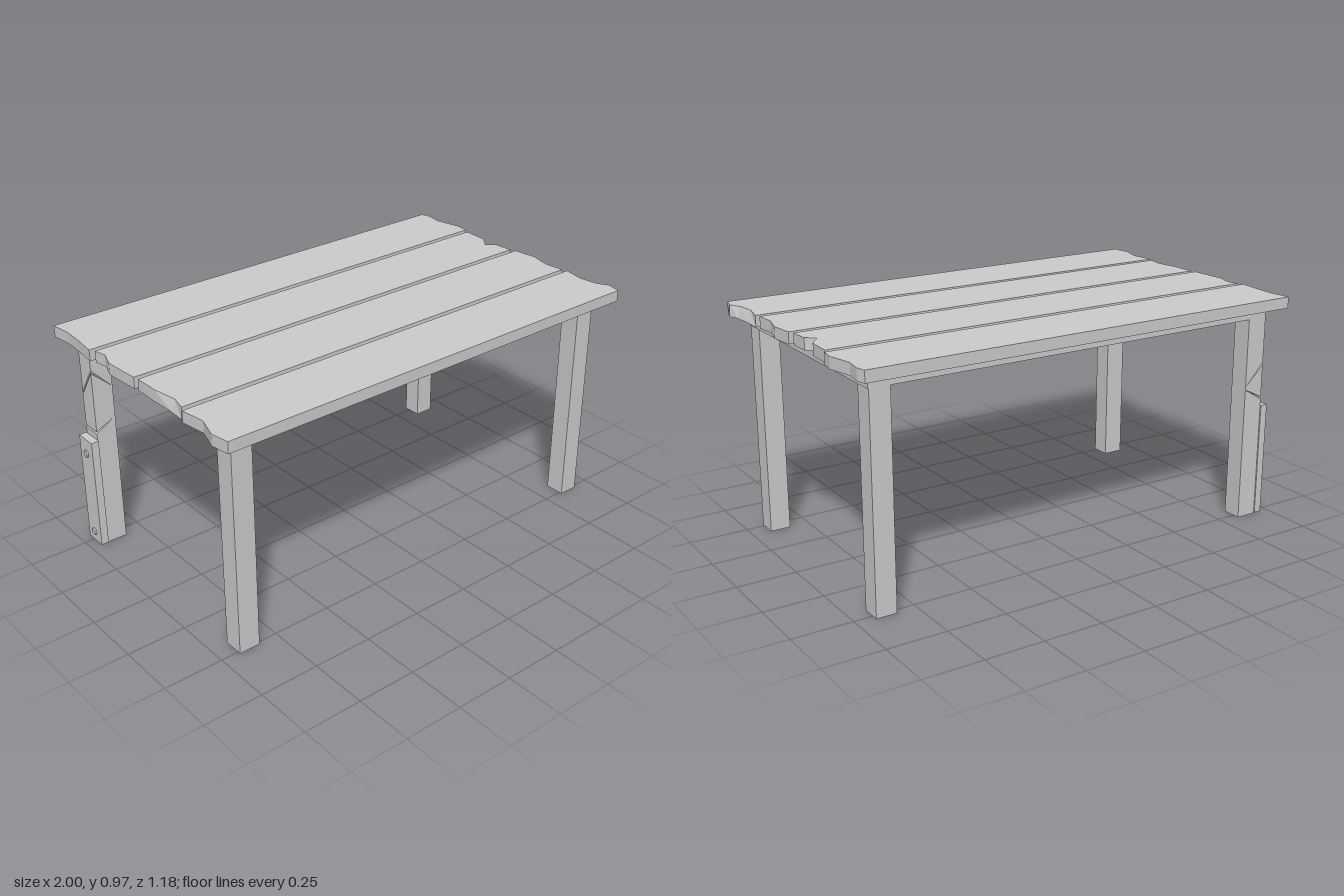
import * as THREE from 'three';

const material = new THREE.MeshStandardMaterial({ color: 0xcccccc, flatShading: true });

function add(parent, name, geometry) {
  const mesh = new THREE.Mesh(geometry, material);
  mesh.name = name;
  parent.add(mesh);
  return mesh;
}

// Box given by its limits on each axis
function block(parent, name, [x0, x1], [y0, y1], [z0, z1]) {
  const mesh = add(parent, name, new THREE.BoxGeometry(x1 - x0, y1 - y0, z1 - z0));
  mesh.position.set((x0 + x1) / 2, (y0 + y1) / 2, (z0 + z1) / 2);
  return mesh;
}

// Board with ragged ends: each end is a list of [x, z], back to front.
// lean = [side, z centre, z radius, amount] pushes the lower edge outwards.
function plank(parent, name, left, right, lean) {
  const outline = [...left, ...[...right].reverse()];
  const shape = new THREE.Shape(outline.map(([x, z]) => new THREE.Vector2(x, -z)));
  const geometry = new THREE.ExtrudeGeometry(shape, { depth: 0.048, bevelEnabled: false });
  geometry.rotateX(-Math.PI / 2).translate(0, 0.922, 0);
  if (lean) {
    const [side, zc, radius, amount] = lean;
    const p = geometry.attributes.position;
    for (let i = 0; i < p.count; i++) {
      if (p.getY(i) > 0.95 || p.getX(i) * side < 0) continue;
      const f = Math.max(0, 1 - Math.abs(p.getZ(i) - zc) / radius);
      p.setX(i, p.getX(i) + side * amount * f);
    }
    geometry.computeVertexNormals();
  }
  add(parent, name, geometry);
}

// Leg split by two thin cracks that open on its outer side
function crackedLeg(parent, [x0, x1], [z0, z1], height) {
  const tip = x1 - 0.002;
  const shape = new THREE.Shape([
    [x0, 0], [x1, 0], [x1, height], [x0, height],
    [x0, 0.684], [tip, 0.59], [x0, 0.672],
    [x0, 0.532], [tip, 0.576], [x0, 0.522],
  ].map(([x, y]) => new THREE.Vector2(x, y)));
  const geometry = new THREE.ExtrudeGeometry(shape, { depth: z1 - z0, bevelEnabled: false });
  geometry.translate(0, 0, z0);
  // The upper crack climbs towards the front
  const p = geometry.attributes.position;
  for (let i = 0; i < p.count; i++) {
    const y = p.getY(i);
    if (y > 0.58 && y < 0.7 && p.getZ(i) > (z0 + z1) / 2) p.setY(i, y + 0.125);
  }
  geometry.computeVertexNormals();
  add(parent, 'crackedLeg', geometry);
}

export function createModel() {
  const table = new THREE.Group();
  table.name = 'table';

  // Table top: four boards with worn ends
  const top = new THREE.Group();
  top.name = 'tableTop';
  table.add(top);
  plank(top, 'backPlank',
    [[-0.987, -0.59], [-0.976, -0.5], [-0.98, -0.42], [-0.99, -0.312]],
    [[0.965, -0.59], [0.975, -0.55], [0.965, -0.48], [0.99, -0.37], [0.982, -0.312]]);
  plank(top, 'backMiddlePlank',
    [[-0.978, -0.29], [-0.967, -0.235], [-0.99, -0.17], [-0.985, -0.08], [-0.98, -0.011]],
    [[0.97, -0.29], [0.965, -0.18], [0.922, -0.125], [0.96, -0.095], [0.965, -0.011]]);
  plank(top, 'frontMiddlePlank',
    [[-0.976, 0.011], [-0.974, 0.12], [-0.957, 0.225], [-0.972, 0.29]],
    [[0.975, 0.011], [0.987, 0.115], [0.965, 0.2], [0.972, 0.29]],
    [-1, 0.21, 0.1, 0.018]);
  plank(top, 'frontPlank',
    [[-0.985, 0.312], [-0.97, 0.42], [-0.999, 0.51], [-0.987, 0.59]],
    [[0.98, 0.312], [0.962, 0.4], [0.972, 0.48], [0.999, 0.53], [0.985, 0.59]],
    [1, 0.43, 0.12, 0.025]);

  // Frame under the boards, as wide as the legs
  const outer = 0.925, inner = 0.835, frameY = [0.88, 0.922];
  const frontZ = [0.428, 0.512], backZ = [-0.527, -0.443];
  block(table, 'frontRail', [-outer, outer], frameY, frontZ);
  block(table, 'backRail', [-outer, outer], frameY, backZ);
  for (const [name, x] of [['leftRail', [inner, outer]], ['rightRail', [-outer, -inner]]]) {
    block(table, name, x, frameY, [backZ[1], frontZ[0]]);
  }

  // Legs
  const legY = [0, 0.88];
  block(table, 'frontLeftLeg', [inner, outer - 0.004], legY, frontZ);
  block(table, 'frontRightLeg', [-outer, -inner], legY, frontZ);
  block(table, 'backLeftLeg', [inner, outer - 0.004], legY, backZ);
  crackedLeg(table, [-outer, -inner], backZ, 0.88);

  // Repair board bolted to the cracked leg
  const repair = new THREE.Group();
  repair.name = 'legRepair';
  table.add(repair);
  block(repair, 'repairBoard', [-0.958, -outer], [0.004, 0.494], [-0.532, -0.435]);
  for (const y of [0.425, 0.048]) {
    const bolt = add(repair, 'bolt', new THREE.CylinderGeometry(0.014, 0.019, 0.012, 8));
    bolt.rotation.z = Math.PI / 2;
    bolt.position.set(-0.959, y, -0.484);
  }
  return table;
}
